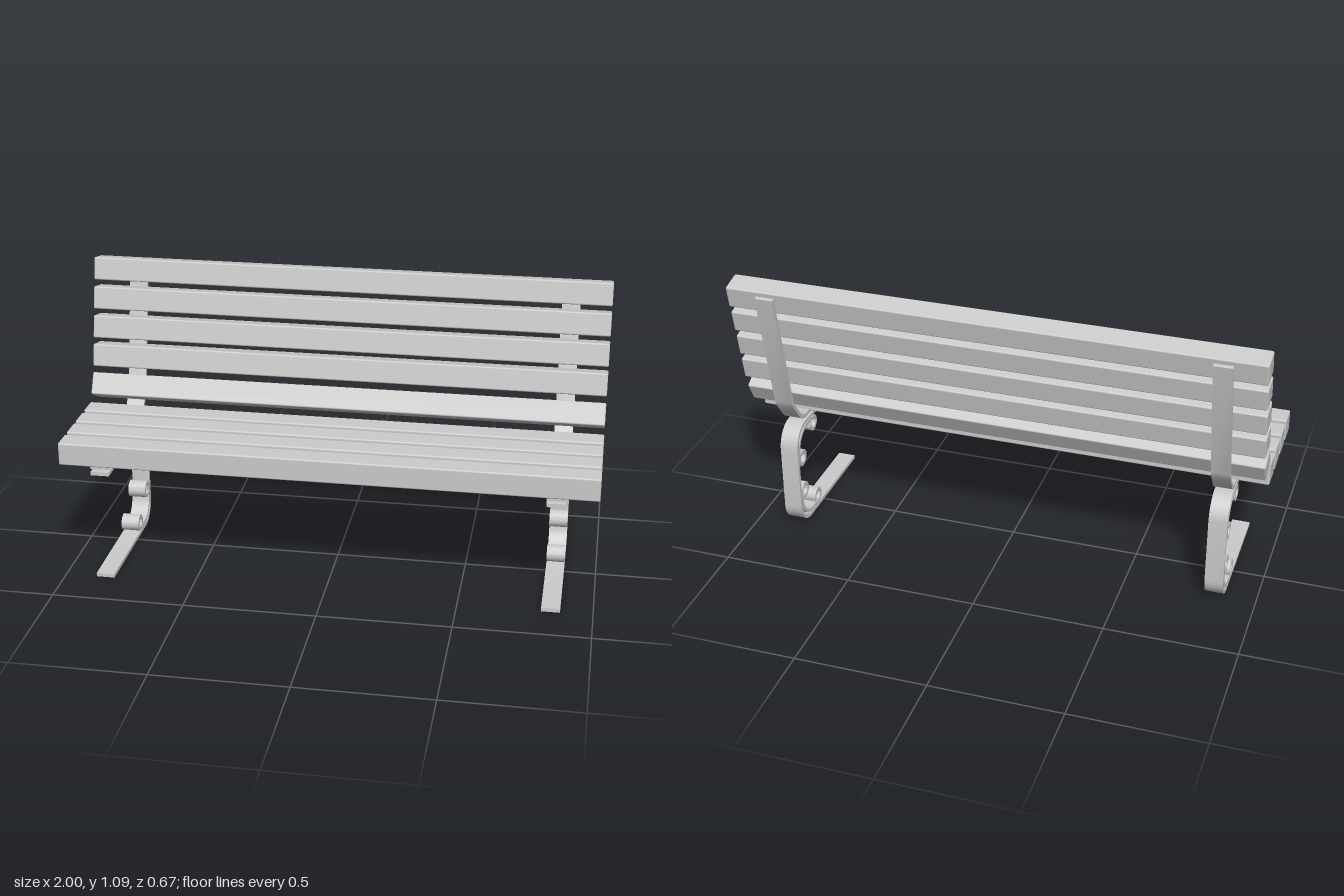
import * as THREE from 'three';
import { toCreasedNormals } from 'three/addons/utils/BufferGeometryUtils.js';
import { RoundedBoxGeometry } from 'three/addons/geometries/RoundedBoxGeometry.js';

const material = new THREE.MeshStandardMaterial({ color: 0xcccccc });
const BAR_WIDTH = 0.07;
const BAR_X = 0.845;

// Points [z, y] along an arc, angles in degrees
function arc(z, y, r, from, to, steps) {
  return Array.from({ length: steps + 1 }, (_, i) => {
    const a = THREE.MathUtils.degToRad(from + ((to - from) * i) / steps);
    return [z + r * Math.cos(a), y + r * Math.sin(a)];
  });
}

// Flat steel bar: thickens a [z, y] centre line and extrudes it across x
function flatBar(path, thickness) {
  const pts = path.map(([z, y]) => new THREE.Vector2(z, y));
  const left = [], right = [];
  pts.forEach((p, i) => {
    const before = p.clone().sub(pts[Math.max(i - 1, 0)]).normalize();
    const after = pts[Math.min(i + 1, pts.length - 1)].clone().sub(p).normalize();
    const dir = before.clone().add(after).normalize();
    const miter = Math.max(dir.dot(after), dir.dot(before));
    const n = new THREE.Vector2(-dir.y, dir.x).multiplyScalar(thickness / 2 / miter);
    left.push(p.clone().add(n));
    right.unshift(p.clone().sub(n));
  });
  const geo = new THREE.ExtrudeGeometry(new THREE.Shape([...left, ...right]), {
    depth: BAR_WIDTH, bevelEnabled: false,
  });
  geo.rotateY(-Math.PI / 2);
  geo.translate(BAR_WIDTH / 2, 0, 0);
  return toCreasedNormals(geo, 0.7);
}

export function createModel() {
  const bench = new THREE.Group();
  bench.name = 'bench';

  const add = (parent, name, geo, x = 0, y = 0, z = 0) => {
    const mesh = new THREE.Mesh(geo, material);
    mesh.name = name;
    mesh.position.set(x, y, z);
    parent.add(mesh);
    return mesh;
  };

  // Wooden slats with softened edges
  const slat = new RoundedBoxGeometry(2, 0.088, 0.088, 2, 0.006);
  [0.291, 0.181, 0.071, -0.04].forEach((z, i) => add(bench, `seatSlat${i + 1}`, slat, 0, 0.503, z));
  [
    [0.592, -0.156, -0.5],
    [0.708, -0.196, -0.21],
    [0.818, -0.22, -0.21],
    [0.929, -0.245, -0.21],
    [1.04, -0.271, -0.21],
  ].forEach(([y, z, tilt], i) => {
    add(bench, `backSlat${i + 1}`, slat, 0, y, z).rotation.x = tilt;
  });

  // Strap that carries the seat and bends up behind the back
  const strap = flatBar([
    [0.33, 0.457], [-0.115, 0.457], [-0.138, 0.462], [-0.158, 0.475],
    [-0.19, 0.516], [-0.217, 0.554], [-0.225, 0.57], [-0.327, 1.053],
  ], 0.015);

  // C-shaped leg: top rail, rear upright and foot
  const leg = flatBar([
    [0.33, 0.431],
    ...arc(-0.126, 0.348, 0.083, 90, 180, 10),
    ...arc(-0.126, 0.09, 0.083, 180, 270, 10),
    [0.33, 0.007],
  ], 0.014);

  // Scroll inside a leg corner, curled at both ends
  const scrollPath = [
    ...arc(-0.052, 0.388, 0.026, 150, 450, 24),
    ...arc(-0.11, 0.329, 0.085, 90, 180, 10),
    ...arc(-0.168, 0.293, 0.027, 180, 490, 24).slice(1),
  ];
  const upperScroll = flatBar(scrollPath, 0.013);
  const lowerScroll = flatBar(scrollPath.map(([z, y]) => [z, 0.438 - y]), 0.013);

  for (const [side, s] of [['left', 1], ['right', -1]]) {
    const frame = new THREE.Group();
    frame.name = `${side}Frame`;
    frame.position.x = s * BAR_X;
    add(frame, `${side}Strap`, strap);
    add(frame, `${side}Leg`, leg);
    add(frame, `${side}UpperScroll`, upperScroll);
    add(frame, `${side}LowerScroll`, lowerScroll);
    bench.add(frame);
  }
  return bench;
}
